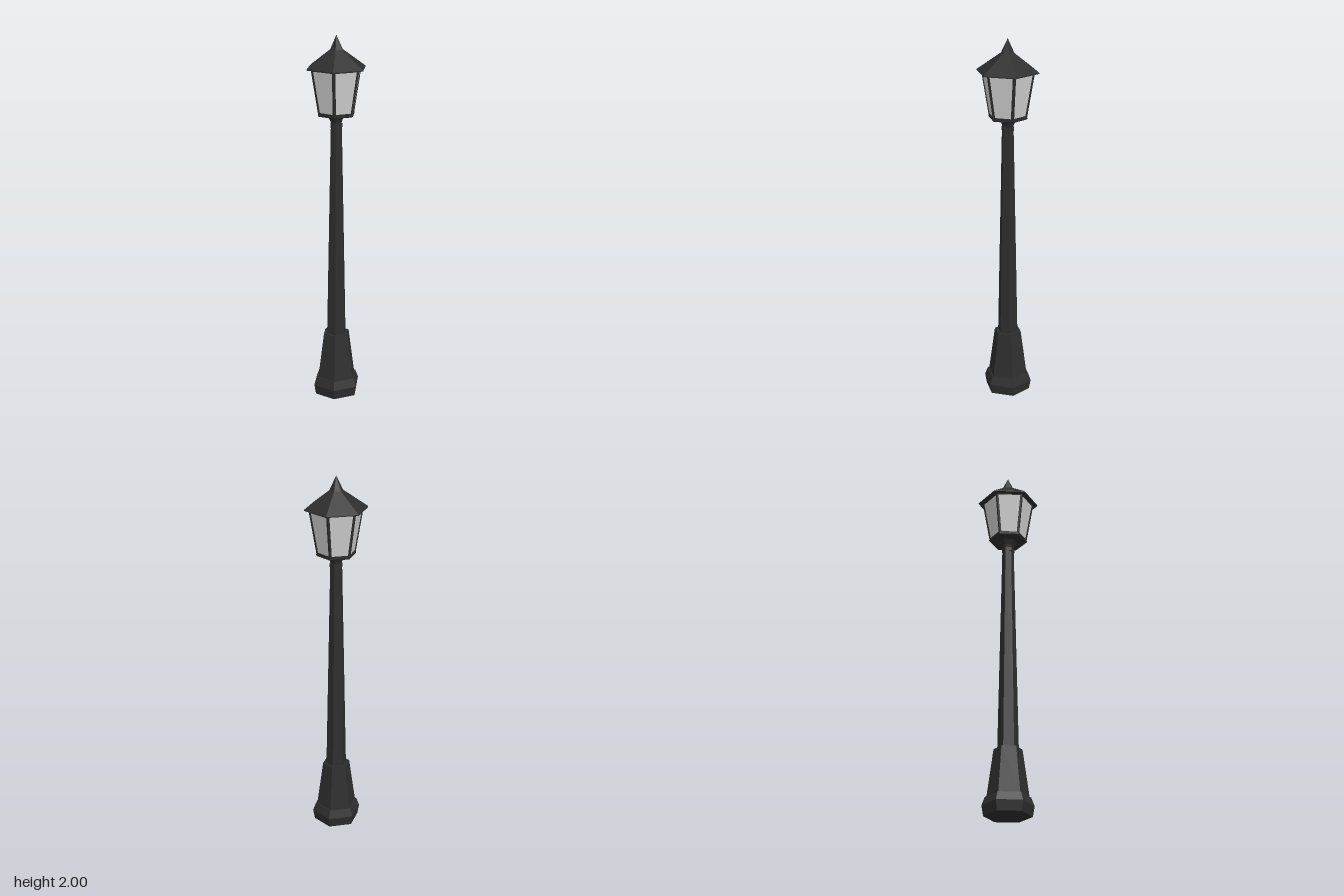
import * as THREE from 'three';

export function createModel() {
  const model = new THREE.Group();
  model.name = 'streetLamp';

  const iron = new THREE.MeshStandardMaterial({ color: 0x2e2e2e, flatShading: true });
  iron.name = 'darkIron';
  const glass = new THREE.MeshStandardMaterial({ color: 0xd2d2d2, flatShading: true });
  glass.name = 'paleGlass';

  // Six-sided part turned from [radius, height] pairs, bottom to top
  const hex = (name, profile, material = iron) => {
    const points = profile.map(([r, y]) => new THREE.Vector2(r, y));
    const mesh = new THREE.Mesh(new THREE.LatheGeometry(points, 6), material);
    mesh.name = name;
    model.add(mesh);
  };

  // Foot, plinth and tapering pole
  hex('foot', [[0, 0], [0.125, 0], [0.135, 0.055], [0.118, 0.1], [0, 0.1]]);
  hex('plinth', [[0.11, 0.1], [0.075, 0.355], [0, 0.355]]);
  hex('pole', [[0.056, 0.355], [0.032, 1.52]]);

  // Collar and flared cup under the lantern
  hex('collar', [[0, 1.515], [0.035, 1.515], [0.035, 1.535], [0, 1.535]]);
  hex('cup', [[0.03, 1.535], [0.034, 1.55], [0.052, 1.583]]);
  hex('lanternFloor', [[0, 1.58], [0.1, 1.58], [0.106, 1.585], [0.106, 1.592], [0, 1.592]]);

  // Glass body
  const y0 = 1.59, y1 = 1.826, r0 = 0.104, r1 = 0.144;
  hex('glassPanes', [[r0 - 0.005, y0], [r1 - 0.005, y1]], glass);

  // One leaning frame per side: a trapezoid with an opening
  const lean = (r1 - r0) * Math.cos(Math.PI / 6);
  const height = Math.hypot(y1 - y0, lean);
  const trapezoid = (Type, side, bottom, top) => {
    const half = (y) => r0 / 2 + ((r1 - r0) / 2) * (y / height) - side;
    const a = bottom, b = height - top;
    return new Type([
      new THREE.Vector2(-half(a), a), new THREE.Vector2(half(a), a),
      new THREE.Vector2(half(b), b), new THREE.Vector2(-half(b), b),
    ]);
  };
  const outline = trapezoid(THREE.Shape, 0, 0, 0);
  outline.holes.push(trapezoid(THREE.Path, 0.01, 0.01, 0.006));
  const frameGeometry = new THREE.ExtrudeGeometry(outline, { depth: 0.008, bevelEnabled: false });
  frameGeometry.translate(0, 0, -0.008);
  frameGeometry.rotateX(Math.atan2(lean, y1 - y0));
  frameGeometry.translate(0, y0, r0 * Math.cos(Math.PI / 6));
  for (let i = 0; i < 6; i++) {
    const frame = new THREE.Mesh(frameGeometry, iron);
    frame.name = 'paneFrame';
    frame.rotation.y = Math.PI / 6 + (i * Math.PI) / 3;
    model.add(frame);
  }

  // Overhanging roof with a steep pointed tip
  hex('roof', [[0, 1.824], [0.147, 1.824], [0.168, 1.826], [0.168, 1.831], [0.036, 1.925], [0, 2]]);

  return model;
}
